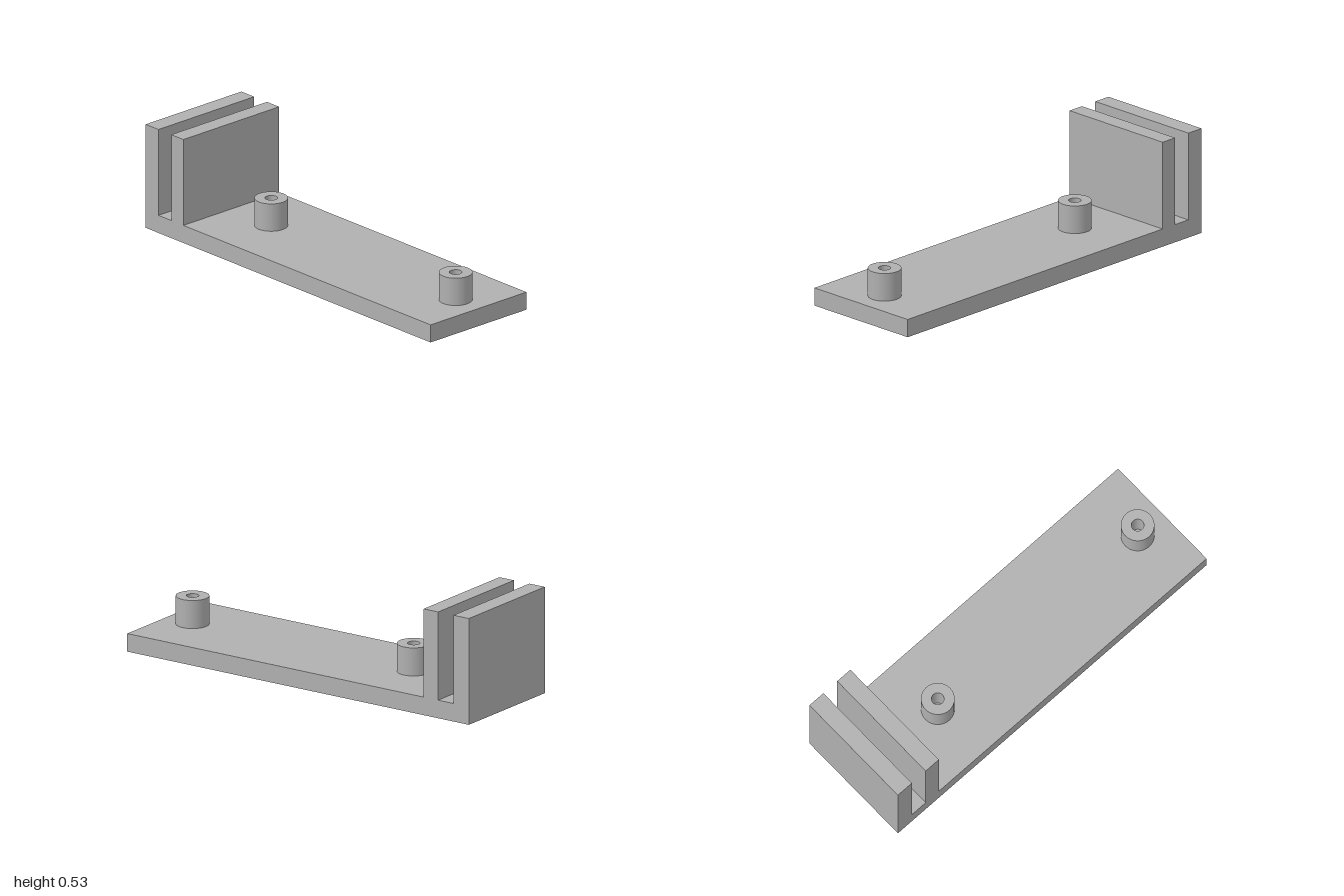
import * as THREE from 'three';
import { mergeGeometries } from 'three/addons/utils/BufferGeometryUtils.js';

const DEPTH = 0.62, BASE = 0.09, WALL_TOP = 0.53;
const POST_TOP = 0.23, POST_R = 0.08, HOLE_R = 0.03;

// Hollow post: each straight piece of the profile is turned separately to keep the rims sharp
function postGeometry() {
  const profile = [[POST_R, BASE], [POST_R, POST_TOP], [HOLE_R, POST_TOP], [HOLE_R, BASE]]
    .map(([r, y]) => new THREE.Vector2(r, y));
  return mergeGeometries([0, 1, 2].map(i => new THREE.LatheGeometry(profile.slice(i, i + 2), 48)));
}

export function createModel() {
  const model = new THREE.Group();
  model.name = 'mountingBracket';
  const grey = new THREE.MeshStandardMaterial({ color: 0xb0b0b0 });
  grey.name = 'grey';

  // Base plate and the two slotted walls share one side outline
  const outline = new THREE.Shape([
    [-1, 0], [1, 0], [1, BASE], [-0.735, BASE], [-0.735, WALL_TOP], [-0.82, WALL_TOP],
    [-0.82, BASE], [-0.91, BASE], [-0.91, WALL_TOP], [-1, WALL_TOP],
  ].map(([x, y]) => new THREE.Vector2(x, y)));
  const body = new THREE.ExtrudeGeometry(outline, { depth: DEPTH, bevelEnabled: false });
  body.translate(0, 0, -DEPTH / 2);
  const bracket = new THREE.Mesh(body, grey);
  bracket.name = 'basePlateWithSlottedWalls';
  model.add(bracket);

  // Two hollow posts along the centre line
  const geometry = postGeometry();
  for (const [name, x] of [['innerPost', -0.455], ['outerPost', 0.84]]) {
    const post = new THREE.Mesh(geometry, grey);
    post.name = name;
    post.position.x = x;
    model.add(post);
  }
  return model;
}
